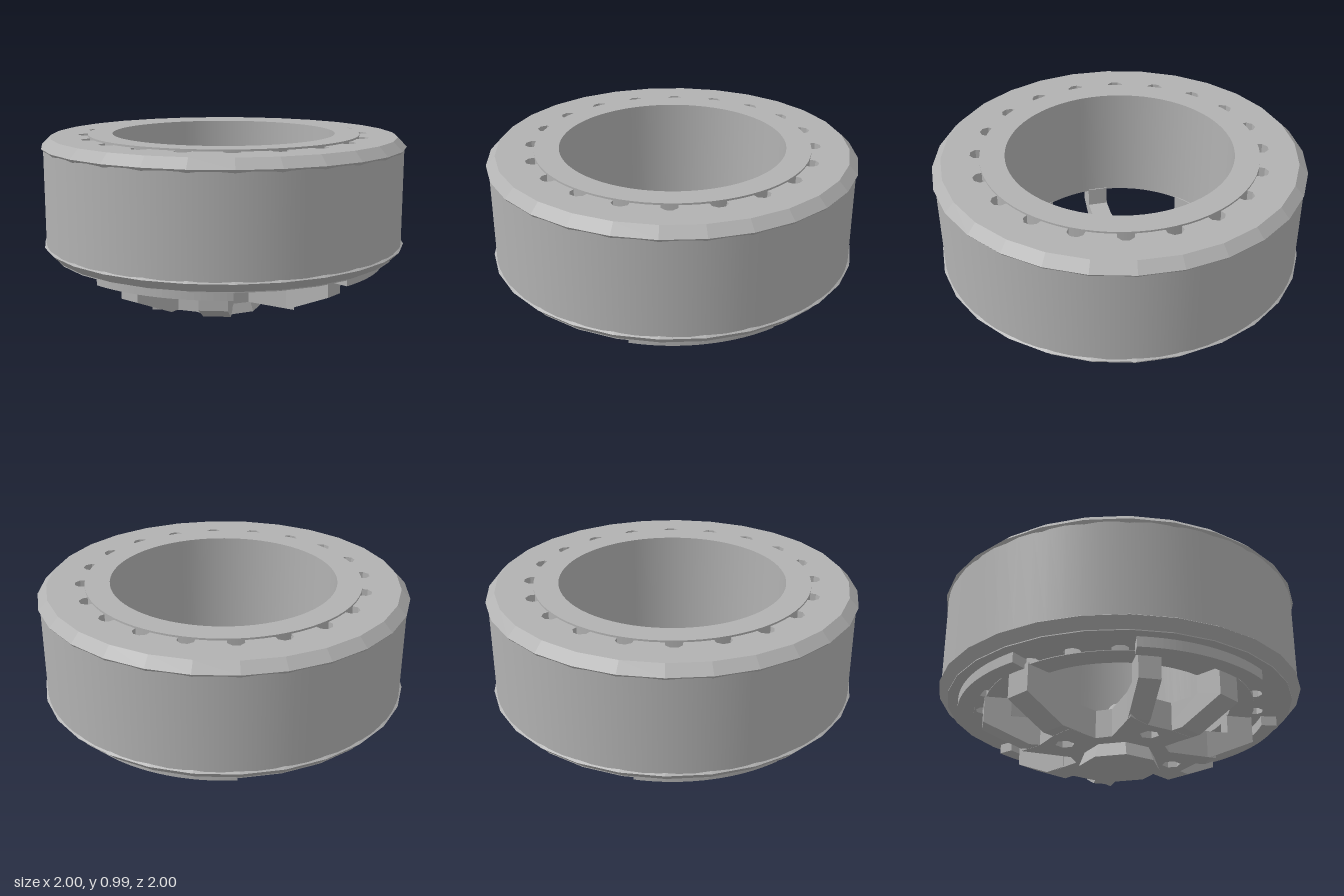
import * as THREE from 'three';

const grey = new THREE.MeshStandardMaterial({ color: 0xb2b2b2 });
grey.name = 'plain grey';
const greyFlat = grey.clone();
greyFlat.name = 'plain grey faceted';
greyFlat.flatShading = true;

const rad = THREE.MathUtils.degToRad;
const v2 = (p) => new THREE.Vector2(p[0], p[1]);

function add(parent, name, geometry, material = greyFlat) {
  const mesh = new THREE.Mesh(geometry, material);
  mesh.name = name;
  parent.add(mesh);
  return mesh;
}

// one smooth or faceted revolved strip; upward profiles face outward
const strip = (points, sides) => new THREE.LatheGeometry(points.map(v2), sides);

function polygon(radius, sides, cx = 0, cy = 0, turn = 0) {
  return Array.from({ length: sides }, (_, i) => {
    const a = turn + (i / sides) * Math.PI * 2;
    return new THREE.Vector2(cx + radius * Math.cos(a), cy + radius * Math.sin(a));
  });
}

// horizontal plate from a plan outline (plan up = back)
function plate(shape, bottom, top) {
  const g = new THREE.ExtrudeGeometry(shape, { depth: top - bottom, bevelEnabled: false });
  return g.rotateX(-Math.PI / 2).translate(0, bottom, 0);
}

export function createModel() {
  const model = new THREE.Group();
  model.name = 'spokedDrumWheel';

  // outer drum and its bevelled rims
  add(model, 'drumWall', strip([[0.987, 0.39], [0.987, 0.93]], 72), grey);
  add(model, 'lowerRim', strip([[0.945, 0.34], [1, 0.395], [0.98, 0.41]], 28));
  add(model, 'upperRim', strip([[0.98, 0.905], [1, 0.93], [0.95, 0.98]], 28));

  // ring body with twenty slots along its inner edge
  const ring = new THREE.Shape(polygon(0.95, 28));
  ring.holes.push(new THREE.Path(polygon(0.695, 60)));
  for (let i = 0; i < 20; i++) {
    const a = rad(i * 18);
    ring.holes.push(new THREE.Path(polygon(0.046, 8, 0.755 * Math.cos(a), 0.755 * Math.sin(a), a + Math.PI / 8)));
  }
  add(model, 'slottedRing', plate(ring, 0.34, 0.98));

  // inner sleeve
  const sleeve = new THREE.Group();
  sleeve.name = 'innerSleeve';
  model.add(sleeve);
  const corners = [[0.745, 0.337], [0.745, 0.99], [0.612, 0.99], [0.612, 0.337], [0.745, 0.337]];
  ['outerWall', 'topEdge', 'bore', 'bottomEdge'].forEach((name, i) =>
    add(sleeve, name, strip([corners[i], corners[i + 1]], 72), grey));

  // hub web: the same outline repeated for each quarter, with a small hole
  const quarter = [[-0.04, 0.27], [-0.012, 0.45], [0.125, 0.42], [0.27, 0.36], [0.4, 0.355], [0.24, 0.125]];
  const outline = [];
  const holes = [];
  for (let q = 0; q < 4; q++) {
    const c = Math.cos(q * Math.PI / 2), s = Math.sin(q * Math.PI / 2);
    const turn = ([x, y]) => new THREE.Vector2(x * c + y * s, y * c - x * s);
    outline.push(...quarter.map(turn));
    const h = turn([0.145, 0.295]);
    holes.push(new THREE.Path(polygon(0.052, 6, h.x, h.y, 0.4 - q * Math.PI / 2)));
  }
  const web = new THREE.Shape(outline);
  web.holes = holes;
  add(model, 'hubWeb', plate(web, 0.08, 0.235));

  // cranked spokes in four pairs
  const profile = [[0.37, 0.081], [0.5, 0.081], [0.75, 0.19], [0.75, 0.345], [0.605, 0.345], [0.605, 0.234], [0.37, 0.234]];
  function spoke(name, degrees, width) {
    const g = new THREE.ExtrudeGeometry(new THREE.Shape(profile.map(v2)), { depth: width, bevelEnabled: false });
    g.translate(0, 0, -width / 2);
    add(model, name, g).rotation.y = Math.PI / 2 - rad(degrees);
  }
  for (let q = 0; q < 4; q++) {
    spoke('wideSpoke', q * 90 + 7, 0.145);
    spoke('narrowSpoke', q * 90 + 43, 0.115);

    // raised arc pad under the ring beside each pair
    const from = rad(90 - q * 90 - 49), to = rad(90 - q * 90);
    const pad = new THREE.Shape();
    pad.absarc(0, 0, 0.89, from, to, false);
    pad.absarc(0, 0, 0.802, to, from, true);
    add(model, 'arcPad', plate(pad, 0.285, 0.345));
  }

  // centre boss and foot
  add(model, 'centreCone', new THREE.CylinderGeometry(0.05, 0.135, 0.13, 8).translate(0, 0.3, 0));
  add(model, 'hubFoot', new THREE.CylinderGeometry(0.19, 0.222, 0.085, 8).translate(0, 0.0425, 0));

  return model;
}
